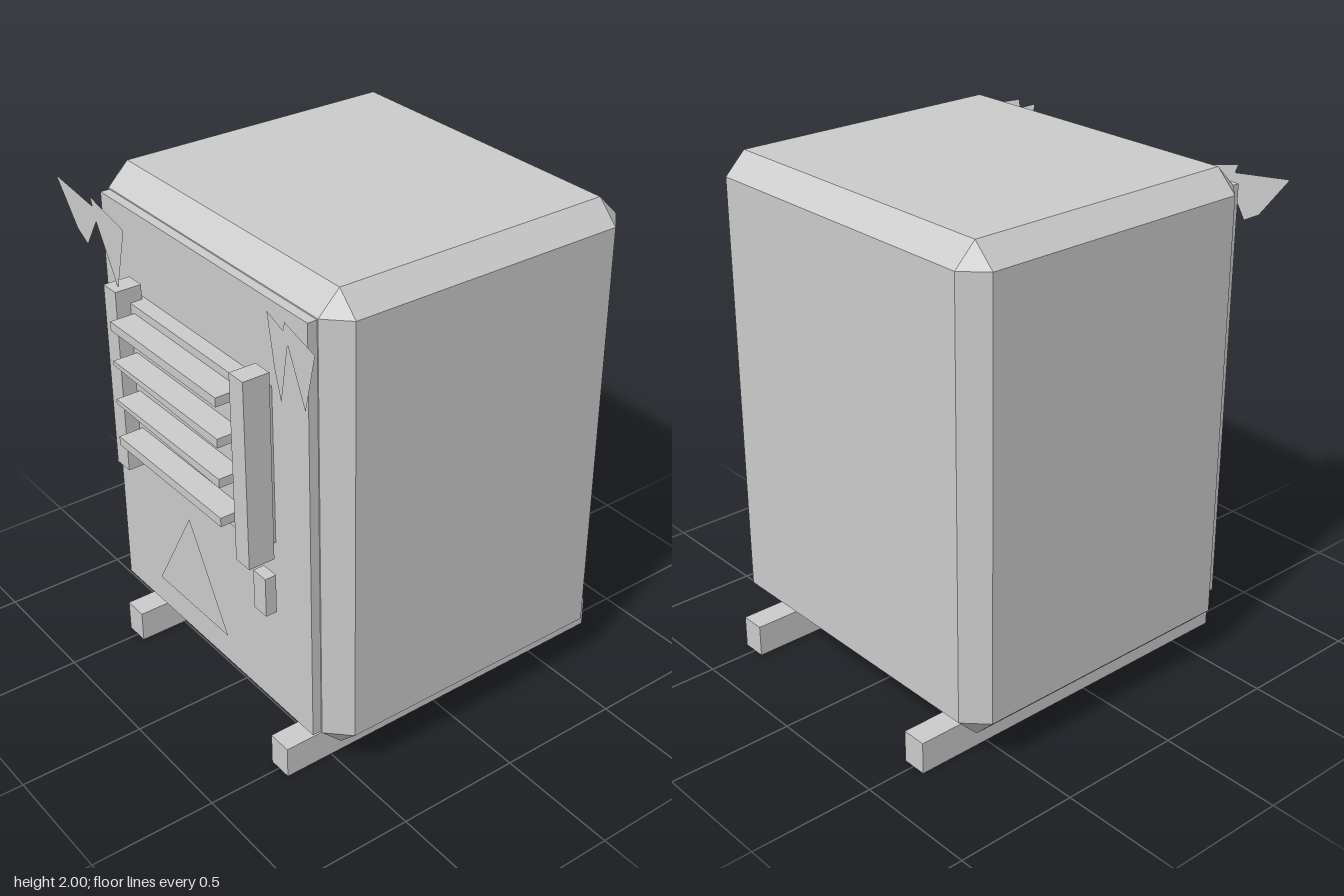
import * as THREE from 'three';
import { ConvexGeometry } from 'three/addons/geometries/ConvexGeometry.js';

const grey = new THREE.MeshStandardMaterial({ color: 0xcccccc, flatShading: true });
const greyThin = new THREE.MeshStandardMaterial({ color: 0xcccccc, flatShading: true, side: THREE.DoubleSide });

// Box given by its extents on each axis
function box(name, [x0, x1], [y0, y1], [z0, z1]) {
  const geometry = new THREE.BoxGeometry(x1 - x0, y1 - y0, z1 - z0);
  geometry.translate((x0 + x1) / 2, (y0 + y1) / 2, (z0 + z1) / 2);
  const mesh = new THREE.Mesh(geometry, grey);
  mesh.name = name;
  return mesh;
}

// Box with all edges chamfered: three points around each corner
function chamferedBox(name, w, h, d, c) {
  const points = [];
  for (const sx of [-1, 1]) for (const sy of [-1, 1]) for (const sz of [-1, 1]) {
    const x = w / 2, y = h / 2, z = d / 2;
    points.push(
      new THREE.Vector3(sx * x, sy * (y - c), sz * (z - c)),
      new THREE.Vector3(sx * (x - c), sy * y, sz * (z - c)),
      new THREE.Vector3(sx * (x - c), sy * (y - c), sz * z));
  }
  const mesh = new THREE.Mesh(new ConvexGeometry(points), grey);
  mesh.name = name;
  return mesh;
}

// Flat cut-out facing +z
function plate(name, outline, z) {
  const shape = new THREE.Shape(outline.map(([x, y]) => new THREE.Vector2(x, y)));
  const mesh = new THREE.Mesh(new THREE.ShapeGeometry(shape), greyThin);
  mesh.name = name;
  mesh.position.z = z;
  return mesh;
}

export function createModel() {
  const model = new THREE.Group();
  model.name = 'cabinet';

  // Cabinet body and front door
  const body = chamferedBox('body', 1.44, 1.87, 1.3, 0.085);
  body.position.set(0, 1.065, -0.05);
  model.add(body);
  model.add(box('frontPanel', [-0.63, 0.63], [0.22, 1.91], [0.595, 0.637]));

  // Skids under the body
  for (const x of [-0.505, 0.505]) {
    model.add(box('skid', [x - 0.05, x + 0.05], [0, 0.13], [-0.8, 0.7]));
  }

  // Vent: backing plate, side posts and slats
  const vent = new THREE.Group();
  vent.name = 'vent';
  vent.add(box('ventBacking', [-0.385, 0.425], [0.96, 1.59], [0.637, 0.7]));
  for (const x of [-0.4, 0.395]) {
    vent.add(box('ventPost', [x - 0.04, x + 0.04], [0.9, 1.65], [0.652, 0.758]));
  }
  [1.06, 1.22, 1.38, 1.54].forEach((y, i) => {
    const slat = box('ventSlat', [-0.337, 0.332], [y - 0.018, y + 0.018], [0.7, 0.8]);
    // The middle slats are warped: lower front edge lifted at one end
    if (i === 1 || i === 2) {
      const p = slat.geometry.attributes.position;
      for (let v = 0; v < p.count; v++) {
        if (p.getX(v) < 0 && p.getY(v) < y && p.getZ(v) > 0.75) p.setY(v, y);
      }
      slat.geometry.computeVertexNormals();
    }
    vent.add(slat);
  });
  model.add(vent);

  // Handle
  model.add(box('handle', [0.425, 0.497], [0.725, 0.885], [0.69, 0.735]));

  // Warning sign and torn scraps at the upper corners
  model.add(plate('triangleSign', [[-0.23, 0.465], [0.228, 0.465], [0, 0.86]], 0.725));
  model.add(plate('rightScrap', [
    [-0.79, 1.943], [-0.66, 1.78], [-0.592, 1.742], [-0.518, 1.858], [-0.45, 1.74],
    [-0.395, 1.642], [-0.328, 1.893], [-0.55, 1.943], [-0.537, 1.91]], 0.725));
  model.add(plate('leftScrap', [
    [0.535, 1.943], [0.572, 1.75], [0.605, 1.642], [0.645, 1.87], [0.735, 1.67],
    [0.788, 1.895], [0.63, 1.943], [0.622, 1.91]], 0.725));

  return model;
}
